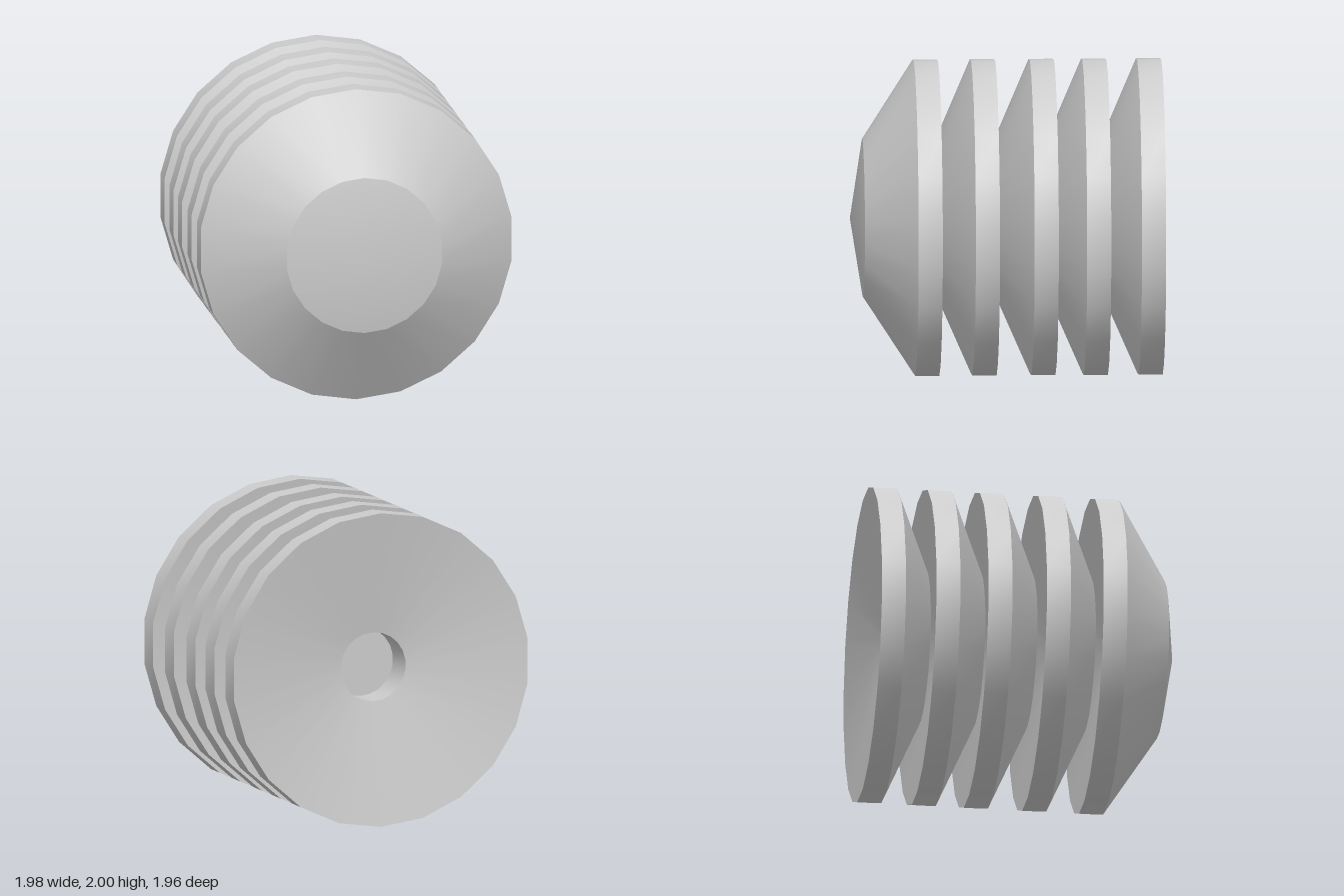
import * as THREE from 'three';
import { toCreasedNormals } from 'three/addons/utils/BufferGeometryUtils.js';

const SIDES = 22;
const RIM = 0.152; // thickness of each disc's outer band
const HOLE = 0.22; // radius of the blind hole in the back

// One disc facing +z with its back edge on z = 0: hollowed back with a blind
// hole, straight rim, steep front cone and a shallow pointed tip.
function discGeometry(coneRise, tipRise) {
  const profile = [
    [0, 0.355],
    [HOLE, 0.355],
    [HOLE, 0.135],
    [1, 0],
    [1, RIM],
    [0.5, RIM + coneRise],
    [0, RIM + coneRise + tipRise],
  ].map(([r, z]) => new THREE.Vector2(r, z));
  const geometry = new THREE.LatheGeometry(profile, SIDES);
  geometry.rotateX(Math.PI / 2);
  return toCreasedNormals(geometry, 0.4);
}

export function createModel() {
  const model = new THREE.Group();
  model.name = 'ribbedStack';
  const material = new THREE.MeshStandardMaterial({ color: 0xcccccc });

  function addDisc(name, geometry, z) {
    const disc = new THREE.Mesh(geometry, material);
    disc.name = name;
    disc.position.set(0, 1, z);
    model.add(disc);
  }

  // Nested ribs, from the back forwards
  const rib = discGeometry(0.218, 0.055);
  [-0.98, -0.635, -0.305, 0.065].forEach((z, i) => addDisc(`ribDisc${i + 1}`, rib, z));

  // Deeper cap at the front
  addDisc('frontCap', discGeometry(0.323, 0.08), 0.425);

  return model;
}
